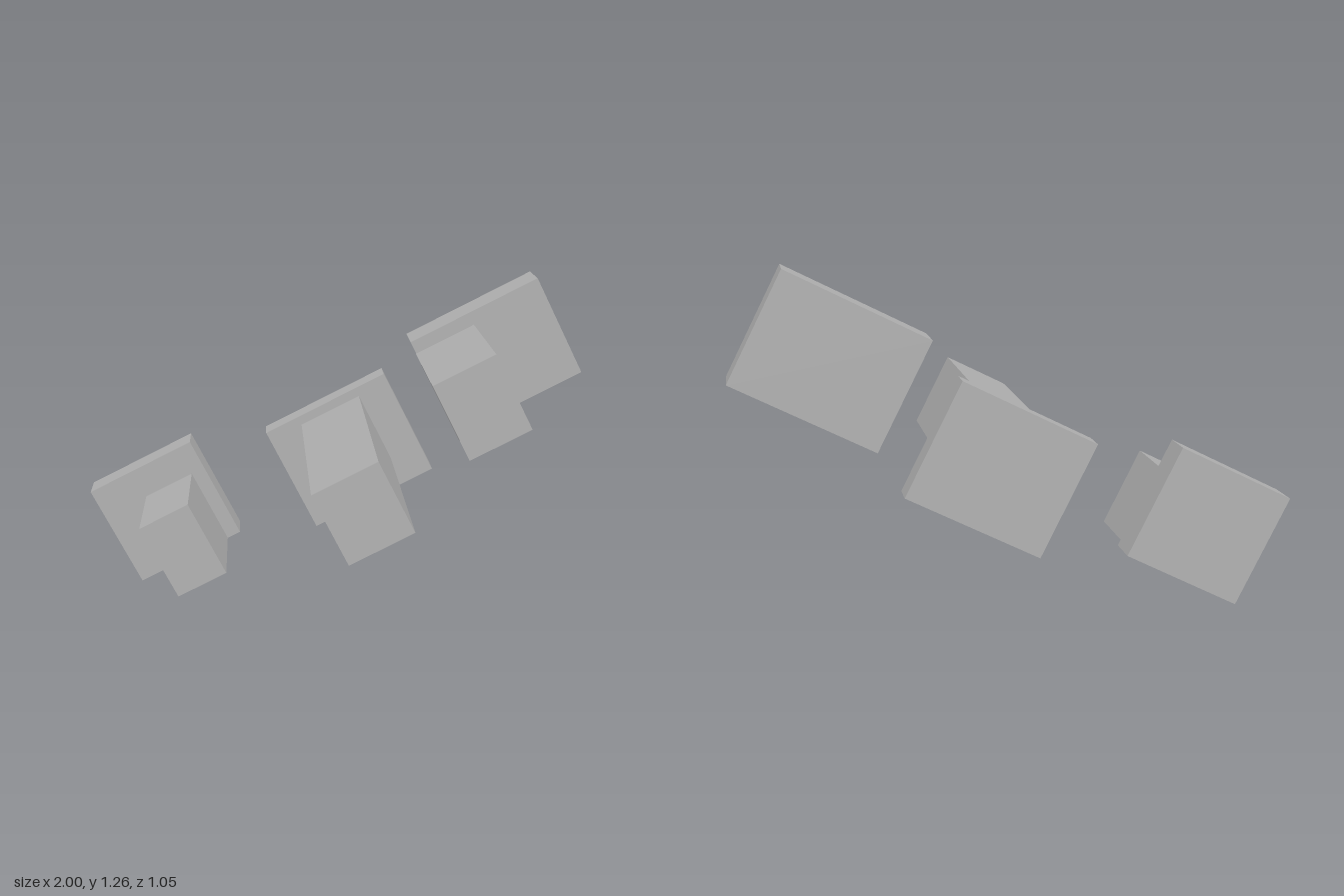
import * as THREE from 'three';

const TILT = THREE.MathUtils.degToRad(26.7);
const BACK = -0.525;

// Each block: backing plate and a peg reaching forward (x, y centre; w, h size; front z)
const BLOCKS = [
  { name: 'lowerBlock',
    plate: { x: -0.697, y: 0.303, w: 0.458, h: 0.436, front: -0.39 },
    peg: { x: -0.61, y: 0.279, w: 0.21, h: 0.314, front: 0.018 } },
  { name: 'middleBlock',
    plate: { x: 0.062, y: 0.543, w: 0.537, h: 0.454, front: -0.42 },
    peg: { x: 0.048, y: 0.585, w: 0.262, h: 0.294, front: 0.525 } },
  { name: 'upperBlock',
    plate: { x: 0.649, y: 0.943, w: 0.562, h: 0.43, front: -0.357 },
    peg: { x: 0.51, y: 0.876, w: 0.258, h: 0.32, front: 0.197 } },
];

export function createModel() {
  const model = new THREE.Group();
  model.name = 'tiltedBlocks';
  const grey = new THREE.MeshStandardMaterial({ color: 0xb2b2b2 });
  grey.name = 'plain grey';

  // Tilted box spanning back to front along z
  const slab = (name, { x, y, w, h, front }, back) => {
    const mesh = new THREE.Mesh(new THREE.BoxGeometry(w, h, front - back), grey);
    mesh.name = name;
    mesh.position.set(x, y, (front + back) / 2);
    mesh.rotation.z = TILT;
    return mesh;
  };

  for (const { name, plate, peg } of BLOCKS) {
    const block = new THREE.Group();
    block.name = name;
    block.add(slab('backPlate', plate, BACK), slab('peg', peg, plate.front));
    model.add(block);
  }
  return model;
}
